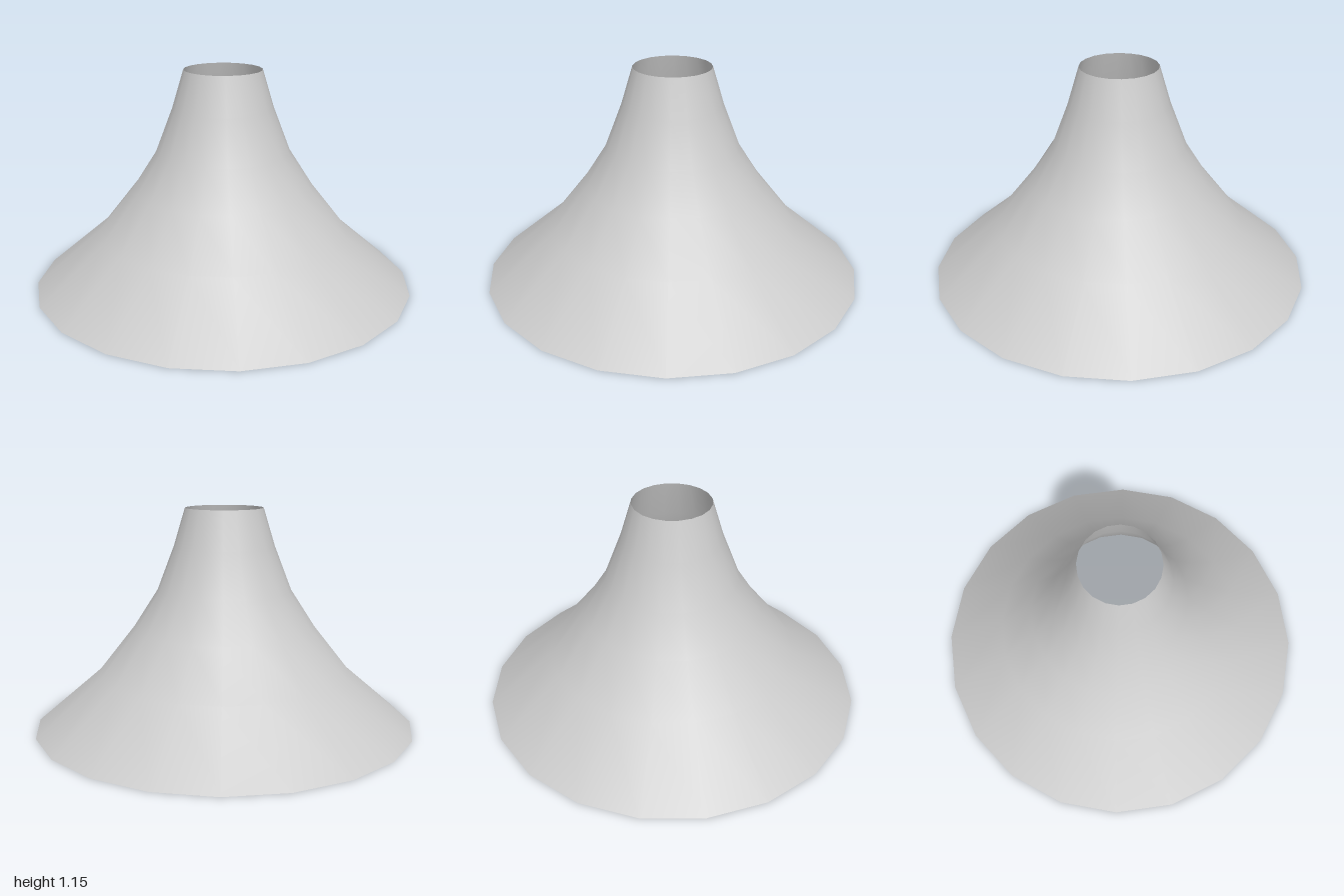
import * as THREE from 'three';

export function createModel() {
  const model = new THREE.Group();

  // Flared shade: an open, thin shell with a concave profile, from bottom rim to top rim
  const profile = [
    [1, 0], [0.66, 0.29], [0.475, 0.525], [0.35, 0.72], [0.262, 0.95], [0.203, 1.147],
  ].map(([r, y]) => new THREE.Vector2(r, y));

  const shade = new THREE.Mesh(
    new THREE.LatheGeometry(profile, 20),
    new THREE.MeshStandardMaterial({ color: 0xcccccc, side: THREE.DoubleSide }),
  );
  shade.name = 'flaredShade';
  model.add(shade);

  return model;
}
